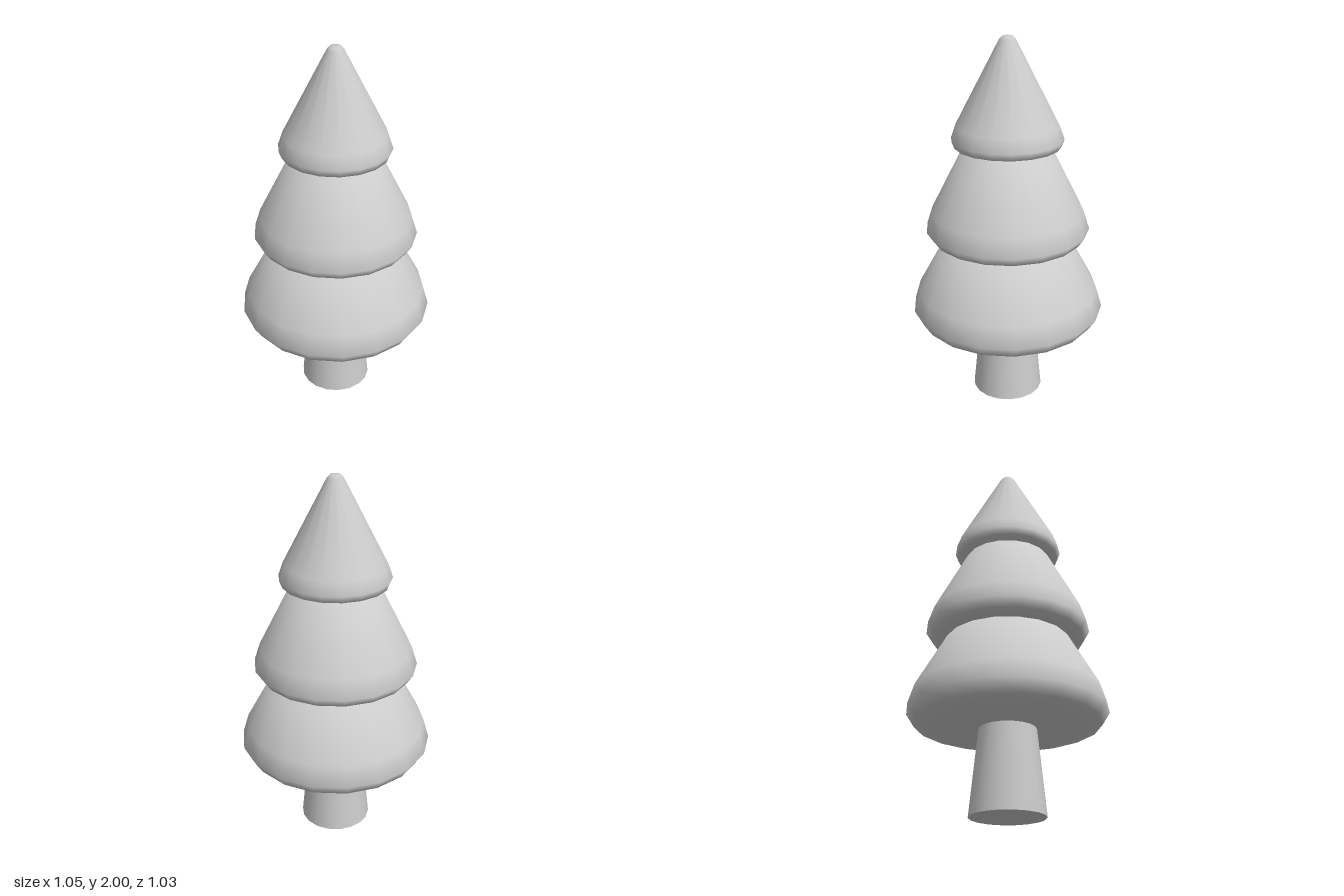
import * as THREE from 'three';

const SIDES = 18;

export function createModel() {
  const tree = new THREE.Group();
  tree.name = 'tree';
  const material = new THREE.MeshStandardMaterial({ color: 0xcccccc });

  // Revolve an outline of [radius, height] points, bottom to top, with a corner on the x axis
  function addTier(name, outline) {
    const points = outline.map(([r, y]) => new THREE.Vector2(r, y));
    const tier = new THREE.Mesh(new THREE.LatheGeometry(points, SIDES, Math.PI / 2), material);
    tier.name = name;
    tree.add(tier);
  }

  // Tapered trunk, its top just inside the lowest tier
  const trunk = new THREE.Mesh(new THREE.CylinderGeometry(0.149, 0.195, 0.46, SIDES), material);
  trunk.name = 'trunk';
  trunk.rotation.y = Math.PI / 2;
  trunk.position.y = 0.23;
  tree.add(trunk);

  // Foliage: flat underside, rounded rim, sloping sides that run up into the tier above
  addTier('lowerFoliage', [
    [0, 0.445], [0.38, 0.445], [0.485, 0.467], [0.525, 0.53], [0.493, 0.637], [0.328, 0.937], [0, 0.937],
  ]);
  addTier('middleFoliage', [
    [0, 0.928], [0.34, 0.928], [0.41, 0.943], [0.44, 0.99], [0.408, 1.088], [0.228, 1.441], [0, 1.441],
  ]);
  addTier('upperFoliage', [
    [0, 1.432], [0.23, 1.432], [0.28, 1.443], [0.295, 1.48], [0.27, 1.55], [0.043, 1.982], [0.027, 2], [0, 2],
  ]);

  return tree;
}
